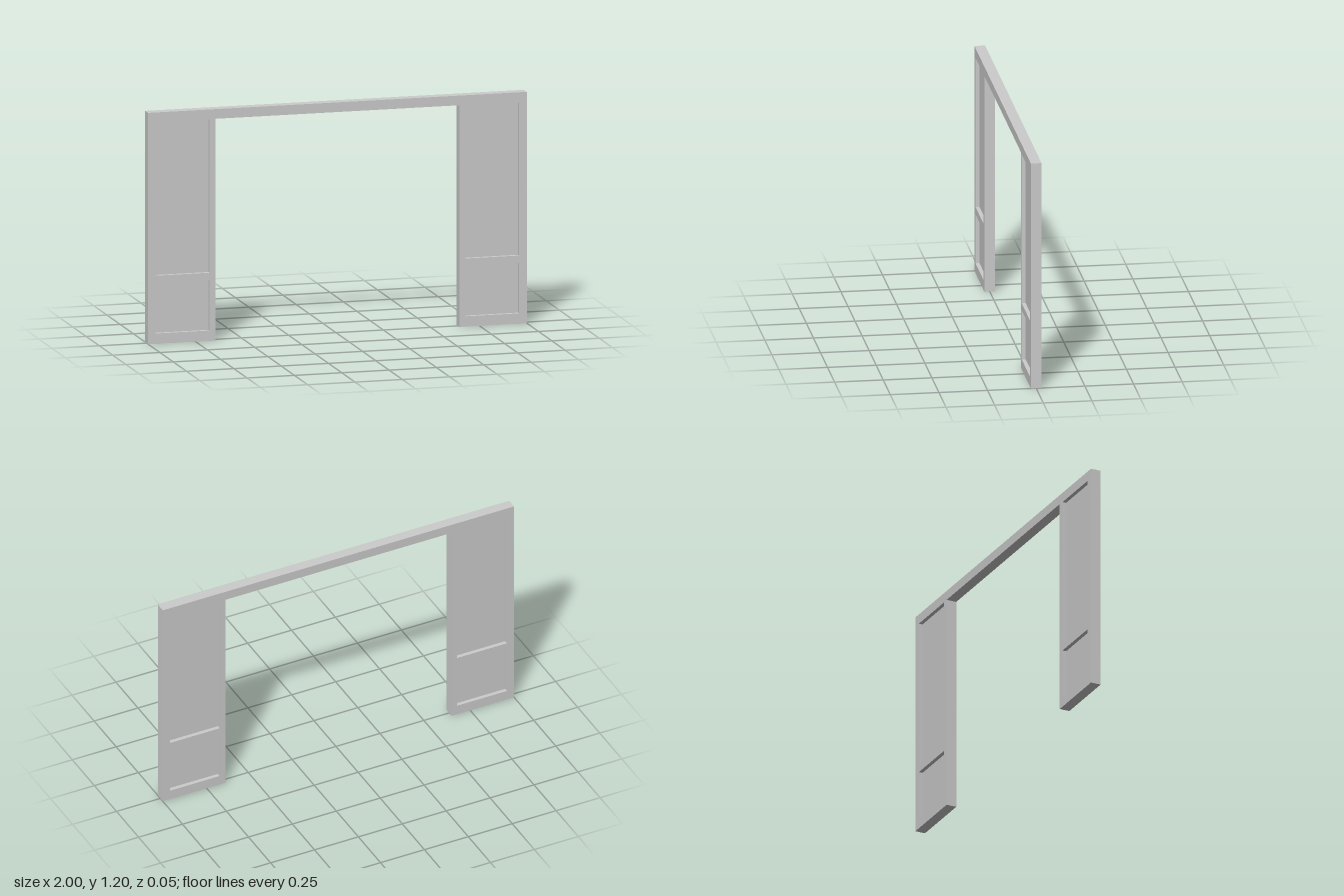
import * as THREE from 'three';

const DEPTH = 0.055;        // frame thickness
const PANEL_DEPTH = 0.014;  // thin infill panels
const LEG_IN = 0.644, PANEL_IN = 0.676, PANEL_OUT = 0.96;
const PANEL_ROWS = [
  { name: 'lowerPanel', y0: 0.053, y1: 0.315 },
  { name: 'upperPanel', y0: 0.353, y1: 1.148 },
];

const polygon = (points, Type) => new Type(points.map(([x, y]) => new THREE.Vector2(x, y)));

export function createModel() {
  const model = new THREE.Group();
  model.name = 'panelledDoorway';
  const material = new THREE.MeshStandardMaterial({ color: 0xcccccc });

  // Frame: two legs joined by a lintel, with an opening for each panel
  const outline = polygon([
    [-1, 0], [-LEG_IN, 0], [-LEG_IN, 1.15], [LEG_IN, 1.15],
    [LEG_IN, 0], [1, 0], [1, 1.2], [-1, 1.2],
  ], THREE.Shape);

  for (const side of [-1, 1]) {
    for (const { name, y0, y1 } of PANEL_ROWS) {
      const a = side * PANEL_IN, b = side * PANEL_OUT;
      outline.holes.push(polygon([[a, y0], [a, y1], [b, y1], [b, y0]], THREE.Path));

      // Recessed panel, set back equally from both faces
      const panel = new THREE.Mesh(
        new THREE.BoxGeometry(PANEL_OUT - PANEL_IN, y1 - y0, PANEL_DEPTH), material);
      panel.position.set((a + b) / 2, (y0 + y1) / 2, 0);
      panel.name = (side > 0 ? 'left' : 'right') + name[0].toUpperCase() + name.slice(1);
      model.add(panel);
    }
  }

  const frameGeometry = new THREE.ExtrudeGeometry(outline, { depth: DEPTH, bevelEnabled: false });
  frameGeometry.translate(0, 0, -DEPTH / 2);
  const frame = new THREE.Mesh(frameGeometry, material);
  frame.name = 'frame';
  model.add(frame);
  return model;
}
